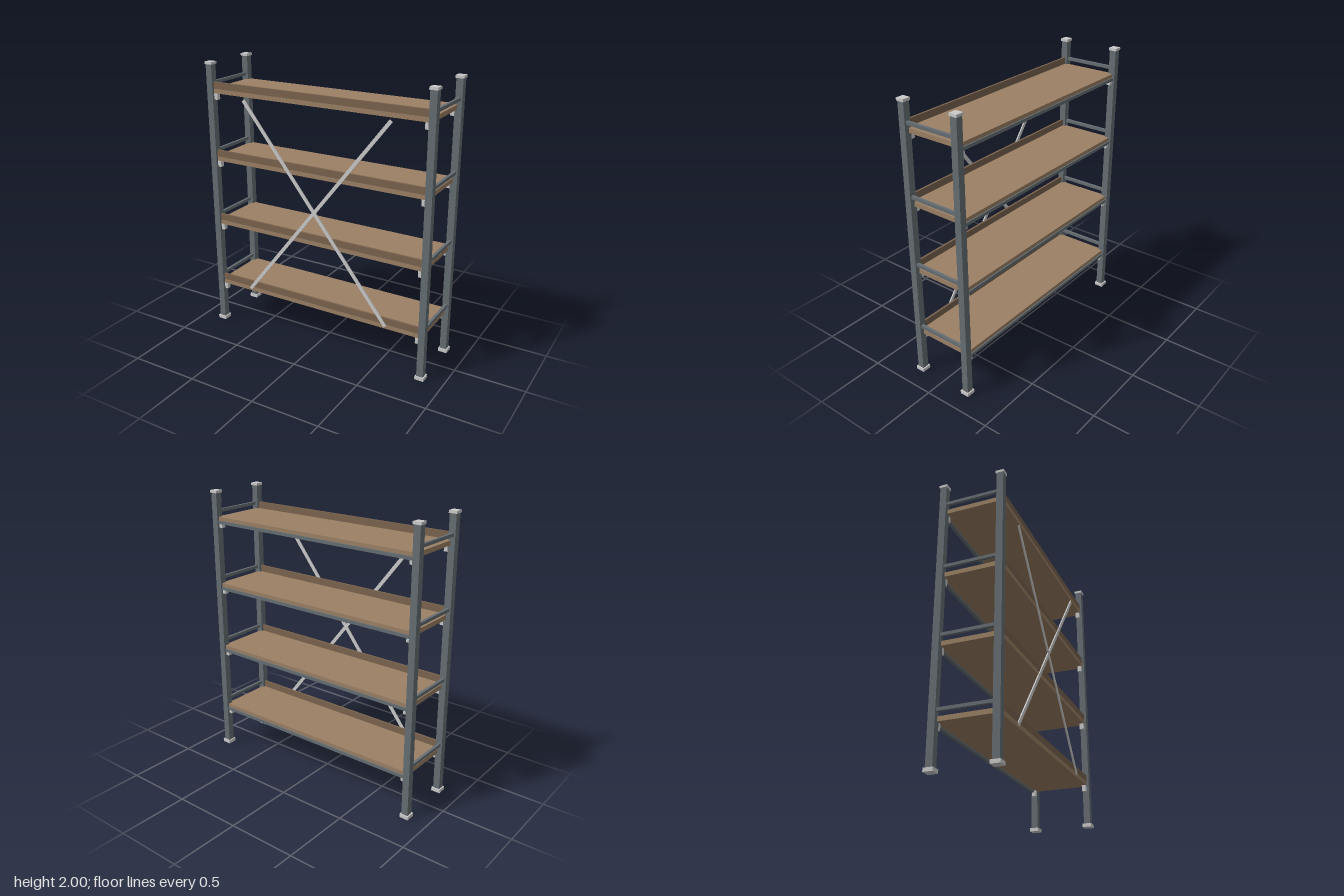
import * as THREE from 'three';

export function createModel() {
  const group = new THREE.Group();
  const mat = (color) => new THREE.MeshStandardMaterial({ color });
  const steel = mat(0x666e73), light = mat(0xcccccc);
  const wood = mat(0x9b8065), darkWood = mat(0x7a634d);

  // box given by its min/max extents on each axis
  const box = (name, material, [x0, x1], [y0, y1], [z0, z1]) => {
    const mesh = new THREE.Mesh(new THREE.BoxGeometry(x1 - x0, y1 - y0, z1 - z0), material);
    mesh.position.set((x0 + x1) / 2, (y0 + y1) / 2, (z0 + z1) / 2);
    mesh.name = name;
    group.add(mesh);
    return mesh;
  };
  const around = (c, size) => [c - size / 2, c + size / 2];

  const postX = 0.836, postZ = 0.207;

  // uprights with foot plates and caps
  for (const sx of [-1, 1]) for (const sz of [-1, 1]) {
    const x = sx * postX, z = sz * postZ;
    box('post', steel, around(x, 0.048), [0.02, 1.985], around(z, 0.048));
    box('footPlate', light, around(x, 0.066), [0, 0.025], around(z, 0.066));
    box('postCap', light, around(x, 0.058), [1.982, 2], around(z, 0.058));
  }

  // four shelf levels
  for (let i = 0; i < 4; i++) {
    const top = 0.34 + i * 0.491, bottom = top - 0.032;
    box('shelfBoard', wood, [-0.83, 0.83], [bottom, top], [-0.215, 0.215]);
    box('frontLip', darkWood, [-0.82, 0.82], [top, top + 0.048], [0.2, 0.215]);
    box('backBeam', steel, [-0.82, 0.82], [bottom - 0.016, bottom + 0.006], [-0.224, -0.2]);
    for (const sx of [-1, 1]) {
      box('sideRail', steel, around(sx * 0.84, 0.02), [top + 0.026, top + 0.048], [-0.19, 0.19]);
      for (const sz of [-1, 1])
        box('shelfBracket', light, around(sx * 0.798, 0.028), [bottom - 0.045, bottom], around(sz * 0.2, 0.03));
    }
  }

  // crossed flat bars on the front
  for (const s of [-1, 1]) {
    const bar = box('crossBrace', light, around(0, 1.82), around(1.043, 0.025), [0.213, 0.222]);
    bar.rotation.z = s * Math.atan2(1.445, 1.13);
  }
  return group;
}
